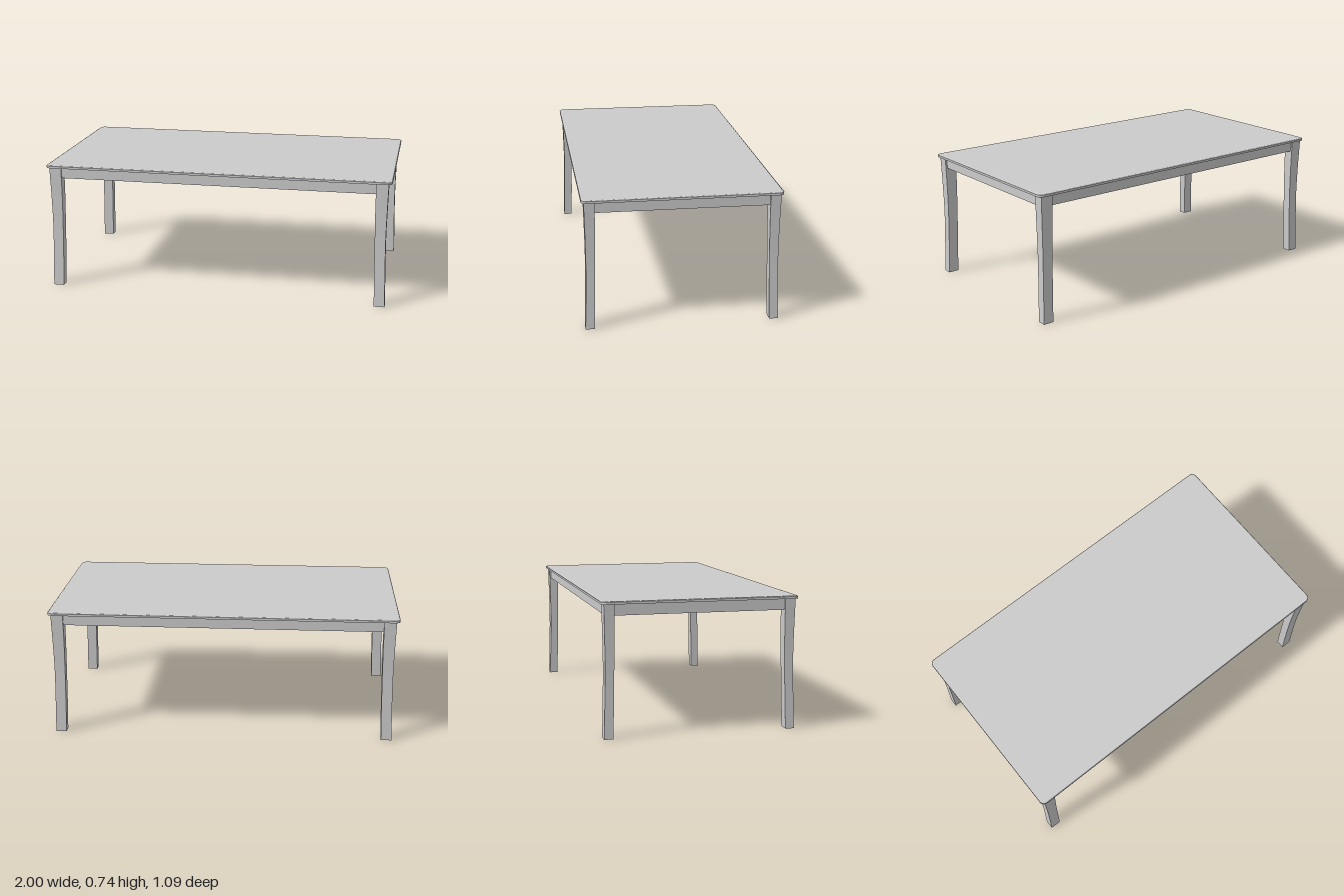
import * as THREE from 'three';

const material = new THREE.MeshStandardMaterial({ color: 0xcccccc });

function roundedRect(hx, hz, r) {
  const s = new THREE.Shape();
  s.moveTo(-hx + r, -hz);
  s.lineTo(hx - r, -hz);
  s.absarc(hx - r, -hz + r, r, -Math.PI / 2, 0);
  s.lineTo(hx, hz - r);
  s.absarc(hx - r, hz - r, r, 0, Math.PI / 2);
  s.lineTo(-hx + r, hz);
  s.absarc(-hx + r, hz - r, r, Math.PI / 2, Math.PI);
  s.lineTo(-hx, -hz + r);
  s.absarc(-hx + r, -hz + r, r, Math.PI, Math.PI * 1.5);
  return s;
}

// Horizontal slab with rounded corners, its underside at y
function slab(name, hx, hz, r, y, depth, bevel = 0) {
  const geo = new THREE.ExtrudeGeometry(roundedRect(hx, hz, r), {
    depth, curveSegments: 6, bevelEnabled: bevel > 0, bevelThickness: bevel,
    bevelSize: bevel, bevelOffset: -bevel, bevelSegments: 3,
  });
  geo.rotateX(-Math.PI / 2);
  // Flatten the lower bevel so only the upper rim is rounded
  const p = geo.attributes.position;
  for (let i = 0; i < p.count; i++) {
    if (p.getY(i) < 0.0001) {
      const lift = p.getY(i) < -bevel + 0.0001 ? 0 : 0.0002;
      p.setY(i, lift);
      if (bevel) {
        p.setX(i, p.getX(i) * hx / Math.max(hx, Math.abs(p.getX(i))));
      }
    }
  }
  geo.computeVertexNormals();
  const mesh = new THREE.Mesh(geo, material);
  mesh.name = name;
  mesh.position.y = y;
  return mesh;
}

// Leg outline by height: [y, outer inset, inner inset]
const legCurve = new THREE.CatmullRomCurve3([
  [0, 0, 0.061], [0.18, 0.005, 0.066], [0.38, 0.009, 0.07],
  [0.56, 0.007, 0.073], [0.725, 0.003, 0.073],
].map(a => new THREE.Vector3(...a)));

// Curved leg, bowed diagonally towards the table centre
function leg(name, sx, sz) {
  const rows = 14;
  const geo = new THREE.BoxGeometry(1, 1, 1, 1, rows, 1);
  const p = geo.attributes.position;
  for (let i = 0; i < p.count; i++) {
    const c = legCurve.getPoint(p.getY(i) + 0.5);
    const outX = p.getX(i) * sx > 0, outZ = p.getZ(i) * sz > 0;
    const x = 0.984 - (outX ? c.y : c.z);
    const z = 0.532 - (outZ ? c.y : c.z - 0.012);
    p.setXYZ(i, sx * x, c.x, sz * z);
  }
  geo.computeVertexNormals();
  const mesh = new THREE.Mesh(geo, material);
  mesh.name = name;
  return mesh;
}

export function createModel() {
  const table = new THREE.Group();
  table.name = 'table';

  // Top: straight edge band below a softened rim
  table.add(slab('tabletopEdge', 1, 0.543, 0.03, 0.721, 0.012));
  table.add(slab('tabletop', 0.999, 0.542, 0.03, 0.722, 0.007, 0.008));

  // Apron block, closed underneath
  const apron = new THREE.Mesh(new THREE.BoxGeometry(1.94, 0.064, 1.036), material);
  apron.name = 'apron';
  apron.position.y = 0.691;
  table.add(apron);

  // Four mirrored legs
  for (const [sx, side] of [[1, 'Left'], [-1, 'Right']])
    for (const [sz, end] of [[1, 'front'], [-1, 'back']])
      table.add(leg(`${end}${side}Leg`, sx, sz));

  return table;
}
